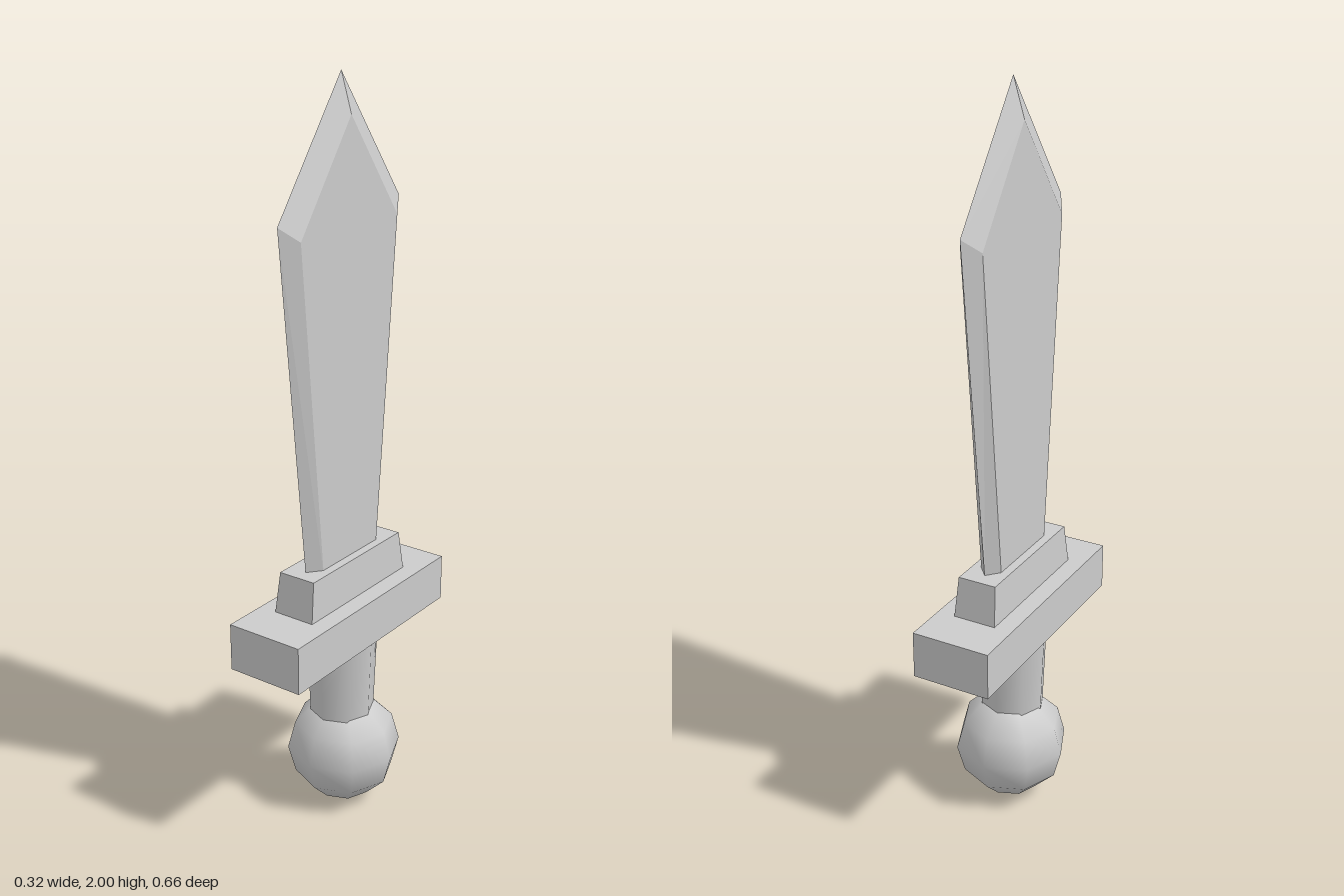
import * as THREE from 'three';

const smooth = new THREE.MeshStandardMaterial({ color: 0xcccccc });
const flat = new THREE.MeshStandardMaterial({ color: 0xcccccc, flatShading: true });

// Blade: a sharp outer rim at x = 0 bevelled up to a flat face on each side
function bladeGeometry() {
  const half = 0.03;
  // [z, y] counter-clockwise seen from +x
  const rim = [[0.155, 0.74], [-0.152, 0.74], [-0.25, 1.67], [0, 2], [0.25, 1.67]];
  const face = [[0.118, 0.74], [-0.118, 0.74], [-0.2, 1.63], [0, 1.9], [0.2, 1.63]];
  const pos = [];
  for (const side of [1, -1]) {
    const tri = (a, b, c) => pos.push(...a, ...(side > 0 ? [...b, ...c] : [...c, ...b]));
    const outer = rim.map(([z, y]) => [0, y, z]);
    const inner = face.map(([z, y]) => [side * half, y, z]);
    for (let i = 0; i < 5; i++) {
      const j = (i + 1) % 5;
      tri(outer[i], outer[j], inner[j]);
      tri(outer[i], inner[j], inner[i]);
      if (i > 0 && i < 4) tri(inner[0], inner[i], inner[j]);
    }
  }
  const g = new THREE.BufferGeometry();
  g.setAttribute('position', new THREE.Float32BufferAttribute(pos, 3));
  g.computeVertexNormals();
  return g;
}

// Box whose top is scaled inward
function taperedBox(w, h, d, sx, sz) {
  const g = new THREE.BoxGeometry(w, h, d);
  const p = g.attributes.position;
  for (let i = 0; i < p.count; i++) {
    if (p.getY(i) > 0) p.setXYZ(i, p.getX(i) * sx, p.getY(i), p.getZ(i) * sz);
  }
  g.computeVertexNormals();
  return g;
}

export function createModel() {
  const model = new THREE.Group();
  const add = (name, geometry, material, y, z = 0) => {
    const mesh = new THREE.Mesh(geometry, material);
    mesh.name = name;
    mesh.position.set(0, y, z);
    model.add(mesh);
  };

  add('blade', bladeGeometry(), flat, 0);
  add('collar', taperedBox(0.12, 0.11, 0.418, 0.9, 0.925), flat, 0.7);
  add('guard', new THREE.BoxGeometry(0.22, 0.13, 0.664), flat, 0.58);
  // Eight-sided grip, slightly wider at the guard
  add('grip', new THREE.CylinderGeometry(0.098, 0.088, 0.25, 8), smooth, 0.395, -0.004);
  // Coarse ball pommel
  add('pommel', new THREE.SphereGeometry(0.158, 8, 6), smooth, 0.158, -0.012);
  return model;
}
